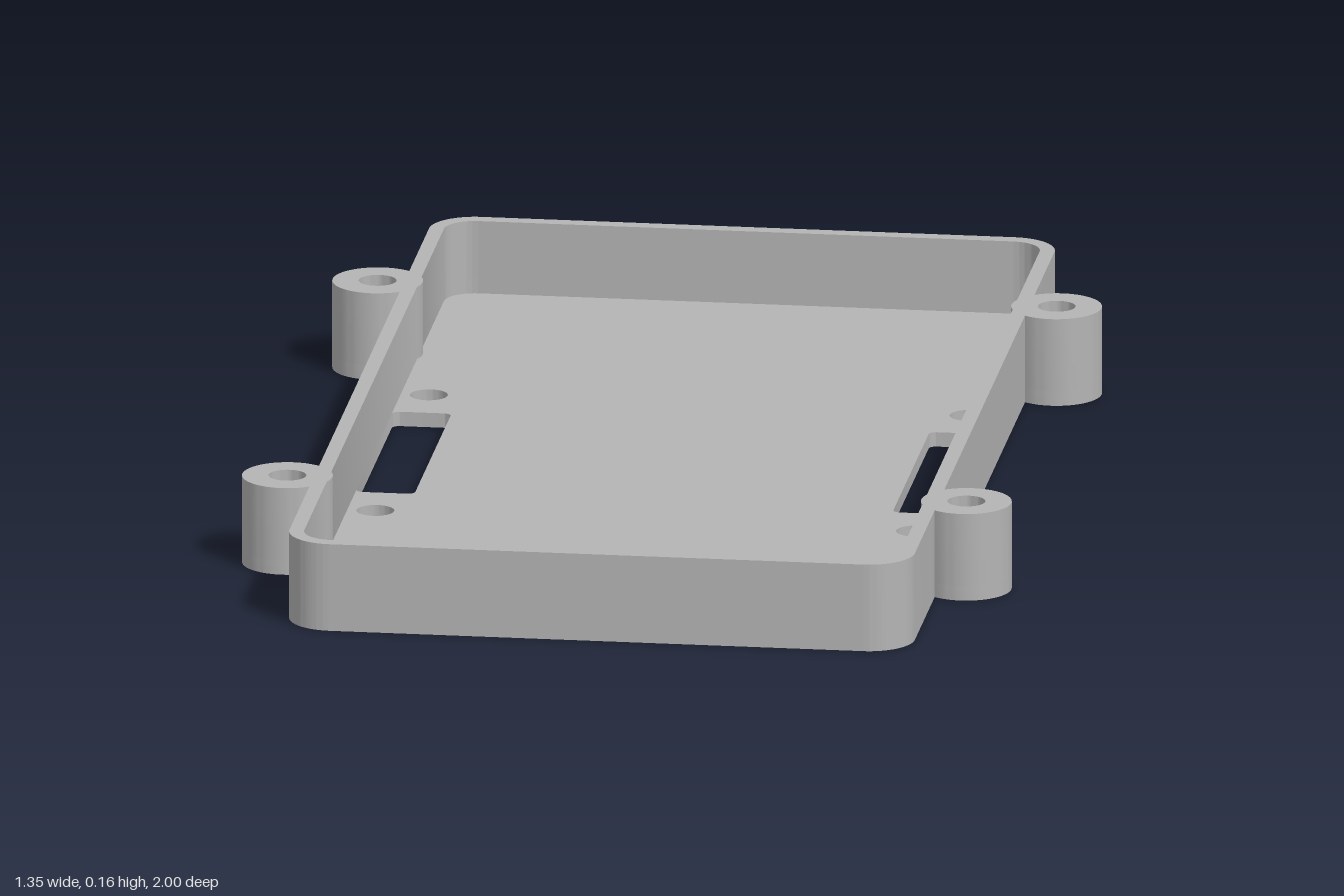
import * as THREE from 'three';
import { toCreasedNormals } from 'three/addons/utils/BufferGeometryUtils.js';

const HALF_X = 0.548, HALF_Z = 1, CORNER = 0.08, WALL = 0.026;
const HEIGHT = 0.157, FLOOR = 0.026;
const BOSS_X = 0.595, BOSS_Z = 0.595, BOSS_R = 0.079, HOLE_R = 0.033;

// Rounded rectangle whose long sides follow the boss circles,
// bulging outward (outer face) or inward (inner face).
function trayOutline(path, inset) {
  const w = HALF_X - inset, h = HALF_Z - inset, r = CORNER - inset;
  const inward = inset > 0;
  const a = Math.acos((w - BOSS_X) / BOSS_R);
  path.moveTo(w, -h + r);
  for (const side of [1, -1]) {
    const base = side > 0 ? 0 : Math.PI;
    for (const end of [-1, 1]) {
      path.absarc(side * BOSS_X, side * end * BOSS_Z, BOSS_R, base - a, base + a, inward);
    }
    path.absarc(side * (w - r), side * (h - r), r, base, base + Math.PI / 2, false);
    path.absarc(-side * (w - r), side * (h - r), r, base + Math.PI / 2, base + Math.PI, false);
  }
  path.closePath();
  return path;
}

const circle = (x, y, r) => new THREE.Path().absarc(x, y, r, 0, Math.PI * 2, true);

function slot(x0, x1, halfLength, r) {
  const p = new THREE.Path();
  p.moveTo(x1, -halfLength + r);
  p.absarc(x1 - r, halfLength - r, r, 0, Math.PI / 2, false);
  p.absarc(x0 + r, halfLength - r, r, Math.PI / 2, Math.PI, false);
  p.absarc(x0 + r, -halfLength + r, r, Math.PI, Math.PI * 1.5, false);
  p.absarc(x1 - r, -halfLength + r, r, Math.PI * 1.5, Math.PI * 2, false);
  p.closePath();
  return p;
}

// Extrudes a plan shape upward from y0 to y1
function slab(name, shape, y0, y1, material) {
  const extruded = new THREE.ExtrudeGeometry(shape, { depth: y1 - y0, bevelEnabled: false, curveSegments: 20 });
  extruded.rotateX(-Math.PI / 2);
  extruded.translate(0, y0, 0);
  const mesh = new THREE.Mesh(toCreasedNormals(extruded, 0.6), material);
  mesh.name = name;
  return mesh;
}

export function createModel() {
  const group = new THREE.Group();
  group.name = 'mountingTray';
  const grey = new THREE.MeshStandardMaterial({ color: 0xb4b4b4 });
  grey.name = 'plain grey';

  const floorShape = trayOutline(new THREE.Shape(), 0);
  const wallShape = trayOutline(new THREE.Shape(), 0);
  wallShape.holes.push(trayOutline(new THREE.Path(), WALL));

  for (const sx of [-1, 1]) {
    for (const sz of [-1, 1]) {
      // Screw holes run through the full height of the bosses
      floorShape.holes.push(circle(sx * BOSS_X, sz * BOSS_Z, HOLE_R));
      wallShape.holes.push(circle(sx * BOSS_X, sz * BOSS_Z, HOLE_R));
      // Small holes beside the slots
      floorShape.holes.push(circle(sx * 0.473, sz * 0.353, HOLE_R));
    }
    // Long slot against each side wall
    const inner = 0.419, outer = HALF_X - WALL;
    floorShape.holes.push(slot(sx > 0 ? inner : -outer, sx > 0 ? outer : -inner, 0.245, 0.013));
  }

  group.add(slab('floor', floorShape, 0, FLOOR, grey));
  group.add(slab('wallsAndBosses', wallShape, FLOOR, HEIGHT, grey));
  return group;
}
